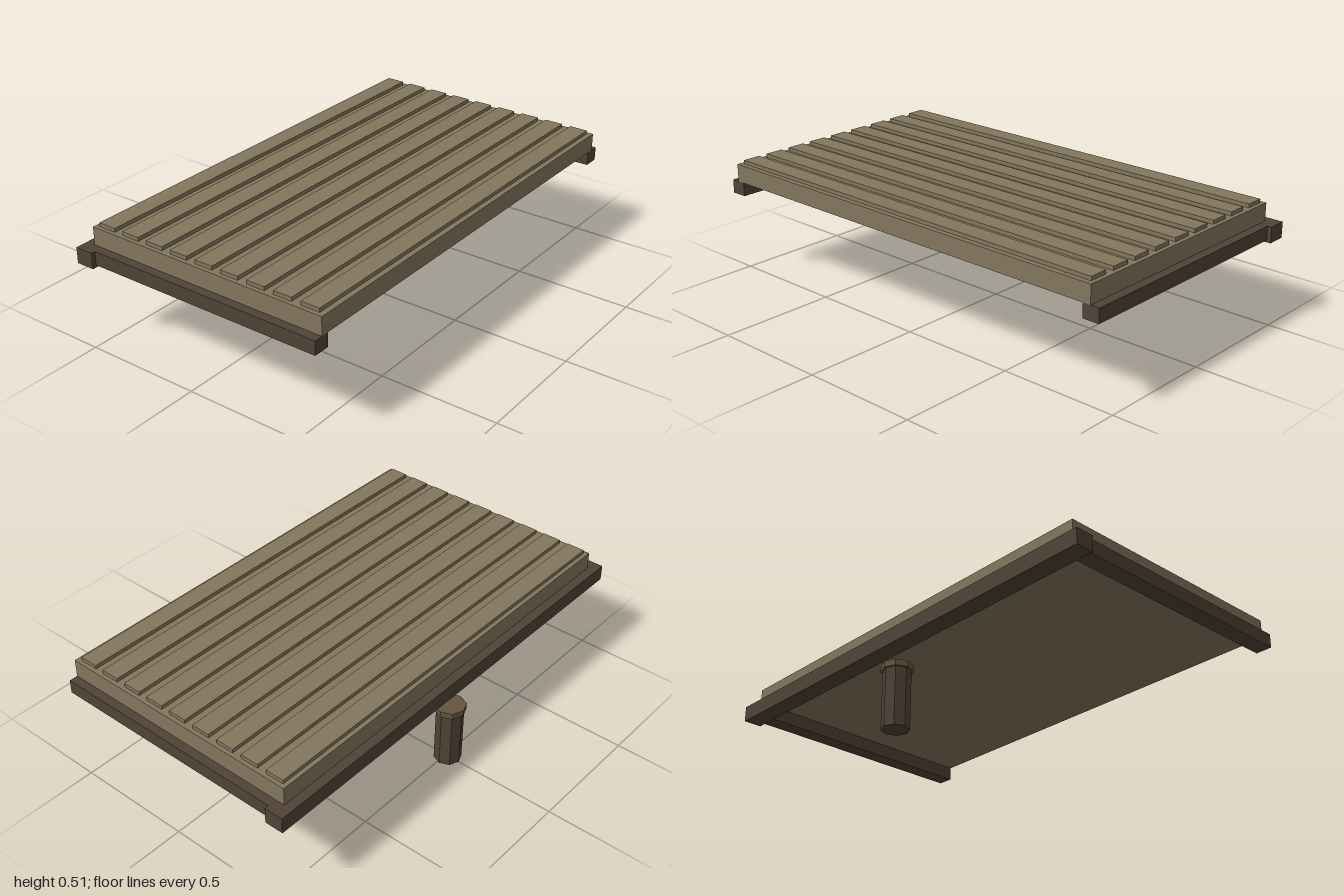
import * as THREE from 'three';

const paint = (color) => new THREE.MeshStandardMaterial({ color, flatShading: true });

export function createModel() {
  const model = new THREE.Group();
  const tan = paint(0x83765d);
  const dark = paint(0x504336);
  const bronze = paint(0x665640);

  const add = (name, geometry, material, x, y, z) => {
    const mesh = new THREE.Mesh(geometry, material);
    mesh.name = name;
    mesh.position.set(x, y, z);
    model.add(mesh);
  };

  // Box given by its limits on each axis
  const box = (name, material, [x0, x1], [y0, y1], [z0, z1]) =>
    add(name, new THREE.BoxGeometry(x1 - x0, y1 - y0, z1 - z0), material,
      (x0 + x1) / 2, (y0 + y1) / 2, (z0 + z1) / 2);

  // Deck slab with nine raised planks
  box('deck', tan, [-0.51, 0.57], [0.422, 0.498], [-0.945, 0.945]);
  for (let i = 0; i < 9; i++) {
    const x = -0.452 + i * 0.12;
    box('plank', tan, [x - 0.04, x + 0.04], [0.498, 0.514], [-0.928, 0.928]);
  }

  // Frame under the deck: one long beam and two end rails
  box('longBeam', dark, [-0.55, -0.47], [0.355, 0.422], [-1, 1]);
  for (const s of [-1, 1]) {
    const limits = [s * 0.912, s * 0.982].sort((a, b) => a - b);
    box('endRail', dark, [-0.47, 0.57], [0.364, 0.422], limits);
  }

  // Eight-sided post with a wider cap
  add('post', new THREE.CylinderGeometry(0.056, 0.056, 0.245, 8), dark, -0.51, 0.1225, 0);
  add('postCap', new THREE.CylinderGeometry(0.064, 0.064, 0.026, 8), bronze, -0.51, 0.258, 0);

  return model;
}
